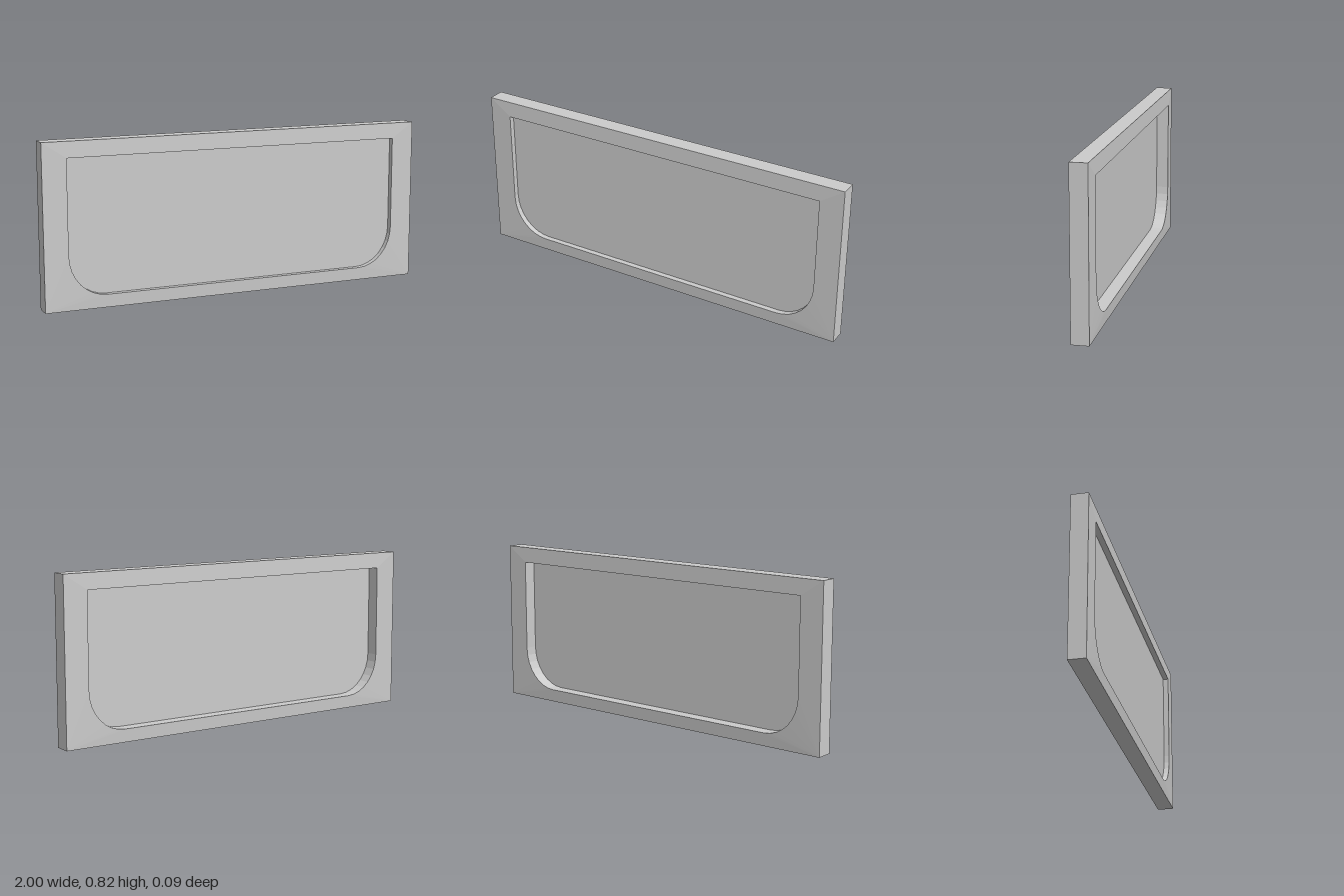
import * as THREE from 'three';

const W = 1, H = 0.82;              // outer half width and height
const RIM_Z = 0.0465, EDGE_Z = 0.0425; // half thickness at the recess rim and outer edge
const FLOOR_Z = 0.018;              // the thin panel sits nearer the front

// Recess outline, counterclockwise: rounded lower corners, square upper ones.
// Each point also knows the outer corner it connects to.
function outline() {
  const x = 0.88, top = 0.74, bottom = 0.065, rx = 0.19, ry = 0.205, n = 8;
  const inner = [], outer = [];
  const add = (px, py, ox, oy) => {
    inner.push(new THREE.Vector2(px, py));
    outer.push(new THREE.Vector2(ox, oy));
  };
  for (const side of [-1, 1]) {
    for (let i = 0; i <= n; i++) {
      const a = (side < 0 ? i : n - i) / n * Math.PI / 2;
      add(side * (x - rx + rx * Math.cos(a)), bottom + ry - ry * Math.sin(a), side * W, 0);
    }
  }
  add(x, top, W, H);
  add(-x, top, -W, H);
  return { inner, outer };
}

// Closed band through a ring of cross-section loops, skipping collapsed triangles
function loftRing(loops) {
  const pos = [];
  const tri = (a, b, c) => {
    if (a.equals(b) || b.equals(c) || c.equals(a)) return;
    for (const p of [a, b, c]) pos.push(p.x, p.y, p.z);
  };
  loops.forEach((loop, k) => {
    const next = loops[(k + 1) % loops.length];
    loop.forEach((p, i) => {
      const j = (i + 1) % loop.length;
      tri(p, next[i], next[j]);
      tri(p, next[j], loop[j]);
    });
  });
  const geo = new THREE.BufferGeometry();
  geo.setAttribute('position', new THREE.Float32BufferAttribute(pos, 3));
  geo.computeVertexNormals();
  return geo;
}

export function createModel() {
  const group = new THREE.Group();
  group.name = 'recessedPanel';
  const { inner, outer } = outline();
  const at = (points, z) => points.map(p => new THREE.Vector3(p.x, p.y, z));

  // Frame with gently sloping faces, open through the middle
  const frame = new THREE.Mesh(
    loftRing([at(inner, RIM_Z), at(outer, EDGE_Z), at(outer, -EDGE_Z), at(inner, -RIM_Z)]),
    new THREE.MeshStandardMaterial({ color: 0xcccccc, flatShading: true })
  );
  frame.name = 'frame';
  group.add(frame);

  // Thin panel closing the opening: shallow recess in front, deeper behind
  const panel = new THREE.Mesh(
    new THREE.ShapeGeometry(new THREE.Shape(inner)),
    new THREE.MeshStandardMaterial({ color: 0xcccccc, side: THREE.DoubleSide })
  );
  panel.name = 'panel';
  panel.position.z = FLOOR_Z;
  group.add(panel);

  return group;
}
